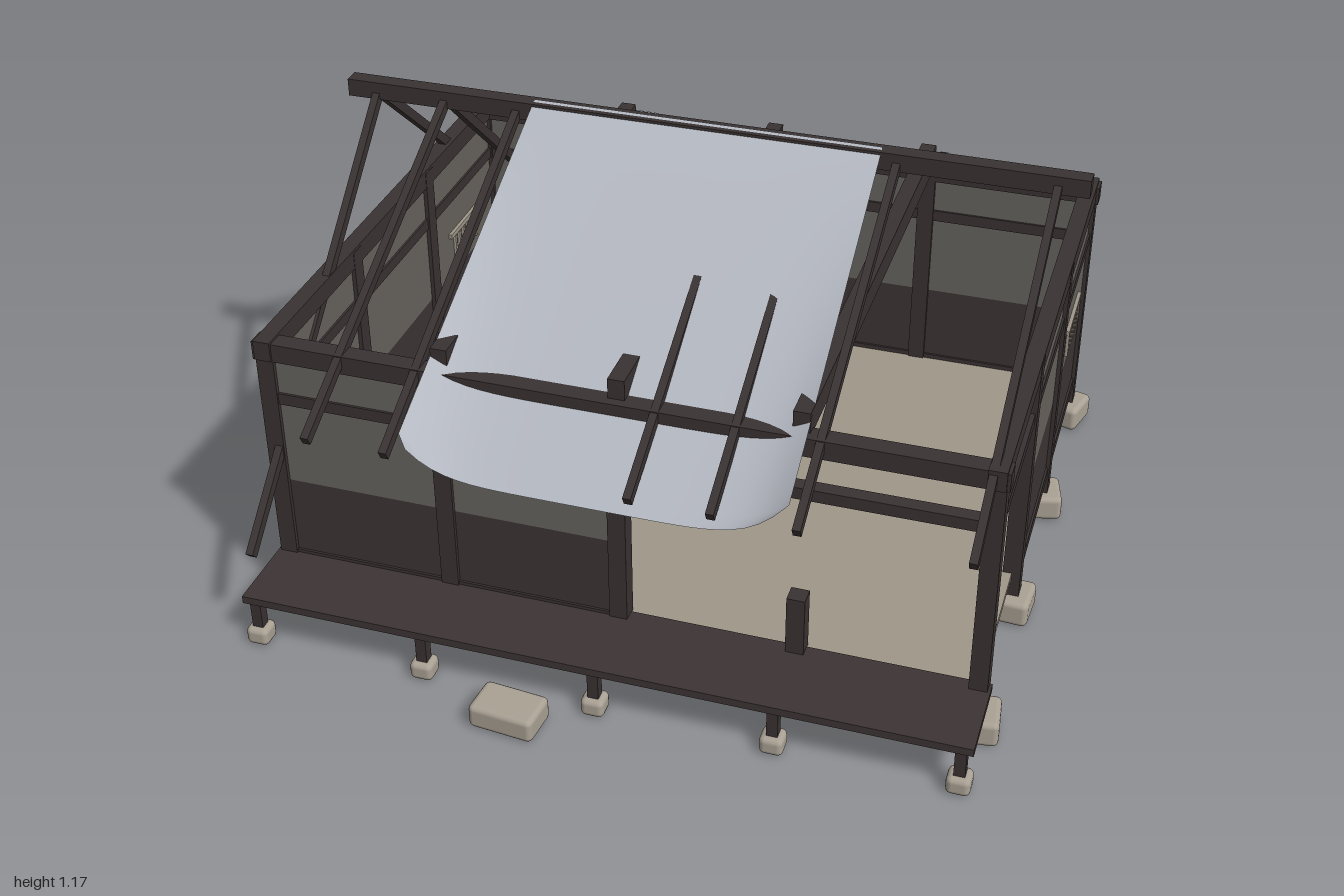
import * as THREE from 'three';
import { RoundedBoxGeometry } from 'three/addons/geometries/RoundedBoxGeometry.js';

export function createModel() {
  const house = new THREE.Group();
  house.name = 'ruinedHouse';
  const mat = (name, color, extra = {}) => {
    const m = new THREE.MeshStandardMaterial({ color, ...extra });
    m.name = name;
    return m;
  };
  const wood = mat('darkWood', 0x3a3232);
  const plank = mat('wallBoards', 0x3d3535);
  const plaster = mat('greyPlaster', 0x67645f);
  const straw = mat('strawFloor', 0xa0978a);
  const stone = mat('stone', 0xaaa194);
  const tin = mat('roofSheet', 0xb3b7c0, { side: THREE.DoubleSide });

  const add = (name, geo, m, x, y, z) => {
    const mesh = new THREE.Mesh(geo, m);
    mesh.name = name;
    mesh.position.set(x, y, z);
    house.add(mesh);
    return mesh;
  };
  // box given by its limits on each axis
  const box = (name, m, x0, x1, y0, y1, z0, z1) =>
    add(name, new THREE.BoxGeometry(x1 - x0, y1 - y0, z1 - z0), m,
      (x0 + x1) / 2, (y0 + y1) / 2, (z0 + z1) / 2);
  const post = (name, x, z, y0, y1, w) =>
    box(name, wood, x - w / 2, x + w / 2, y0, y1, z - w / 2, z + w / 2);
  const rock = (name, x, z, w, h, d, yaw) => {
    add(name, new RoundedBoxGeometry(w, h, d, 2, 0.015), stone, x, h / 2, z).rotation.y = yaw;
  };

  const F = 0.63, B = -0.77, RIDGE = -0.07;
  const xs = [-0.9, -0.45, 0, 0.45, 0.9];
  const zs = [F, 0.163, -0.303, B];

  // Posts on foundation stones around the perimeter
  let n = 0;
  const footing = (x, z, top) => {
    post('post', x, z, 0.06, top, 0.046);
    rock('foundationStone', x, z, 0.115, 0.072, 0.115, 0.3 * Math.sin(++n * 2.4));
  };
  for (const x of xs) {
    footing(x, F, x === 0.45 ? 0.31 : 0.78);   // one front post is snapped off
    footing(x, B, 0.78);
  }
  for (const x of [-0.9, 0.9]) for (const z of [zs[1], zs[2]]) footing(x, z, 0.78);

  // Floor
  box('floor', straw, -0.9, 0.9, 0.122, 0.142, B, F);

  // Wall bays: boards below, plaster above, built along x or z
  const T = 0.012;
  const layer = (name, m, alongX, a, b, c, y0, y1, t) => alongX
    ? box(name, m, a, b, y0, y1, c - t, c + t)
    : box(name, m, c - t, c + t, y0, y1, a, b);
  const bay = (alongX, a, b, c) => {
    layer('lowerBoards', plank, alongX, a, b, c, 0.12, 0.372, T);
    layer('plasterPanel', plaster, alongX, a, b, c, 0.372, 0.735, T);
    layer('sill', wood, alongX, a, b, c, 0.12, 0.155, 0.018);
  };
  for (let i = 0; i < 4; i++) {
    if (i < 2) bay(true, xs[i], xs[i + 1], F);
    if (i !== 1) bay(true, xs[i], xs[i + 1], B);
  }
  for (let i = 0; i < 3; i++) {
    bay(false, zs[i + 1], zs[i], -0.9);
    if (i > 0) bay(false, zs[i + 1], zs[i], 0.9);
  }

  // Lintel rails and top plates
  for (const z of [F, B]) {
    layer('lintelRail', wood, true, -0.9, 0.9, z, 0.605, 0.637, 0.018);
    layer('topPlate', wood, true, -0.93, 0.93, z, 0.732, 0.782, 0.024);
  }
  for (const x of [-0.9, 0.9]) {
    layer('lintelRail', wood, false, B, F, x, 0.605, 0.637, 0.018);
    layer('sidePlate', wood, false, B - 0.03, F + 0.03, x, 0.735, 0.788, 0.022);
  }
  for (const x of [-0.445, 0, 0.445])
    layer('tieBeam', wood, false, B, F, x, 0.77, 0.835, 0.021);

  // Barred windows, showing on both wall faces
  const bars = (x, z) => {
    box('windowRail', straw, x - 0.022, x + 0.022, 0.494, 0.508, z - 0.11, z + 0.11);
    for (let i = -2.5; i <= 2.5; i++)
      box('windowBar', straw, x - 0.02, x + 0.02, 0.41, 0.5, z + i * 0.03 - 0.005, z + i * 0.03 + 0.005);
  };
  bars(-0.9, 0.395);
  bars(-0.9, -0.535);
  bars(0.9, -0.535);

  // Veranda with short legs and a stepping stone
  box('verandaDeck', plank, -0.93, 0.93, 0.125, 0.146, F - 0.01, 0.855);
  for (const x of xs) {
    post('verandaLeg', x, 0.835, 0.04, 0.13, 0.028);
    rock('verandaStone', x, 0.835, 0.06, 0.05, 0.06, 0);
  }
  rock('steppingStone', -0.185, 0.935, 0.17, 0.066, 0.11, -0.09);

  // Ridge beam and rafters, some of them slipped
  box('ridgeBeam', wood, -0.968, 0.968, 1.115, 1.162, RIDGE - 0.022, RIDGE + 0.022);
  const rafter = (x, endZ, endY) => {
    const dy = endY - 1.135, dz = endZ - RIDGE;
    const r = add('rafter', new THREE.BoxGeometry(0.02, 0.026, Math.hypot(dy, dz)), wood,
      x, (endY + 1.135) / 2, (endZ + RIDGE) / 2);
    r.rotation.x = Math.atan2(-dy, dz);
  };
  for (const [x, y] of [[-0.89, 0.28], [-0.7, 0.665], [-0.5, 0.665], [0.1, 0.665],
    [0.295, 0.665], [0.495, 0.665], [0.89, 0.665]]) rafter(x, 0.85, y);
  for (const [x, y] of [[-0.9, 0.34], [-0.7, 0.3], [-0.5, 0.42], [0.1, 0.665],
    [0.495, 0.665], [0.89, 0.665]]) rafter(x, -0.99, y);

  // Sagging roof sheets, lower corners rounded, edges curled up
  const sheet = (name, run, yaw) => {
    const g = new THREE.PlaneGeometry(2, 1, 28, 28);
    const p = g.attributes.position;
    for (let i = 0; i < p.count; i++) {
      const u = p.getX(i), t = 0.5 - p.getY(i);
      const k = Math.max(0, (t - 0.96) / 0.04);
      const half = 0.455 + 0.015 * t - 0.03 * (1 - Math.sqrt(1 - Math.min(1, k * k)));
      const sag = 0.072 * Math.pow(t, 1.5) * (1 - Math.pow(Math.abs(u), 6));
      p.setXYZ(i, u * half, 1.166 - 0.466 * t - sag, run * t);
    }
    g.computeVertexNormals();
    add(name, g, tin, 0, 0, RIDGE).rotation.y = yaw;
  };
  sheet('frontRoofSheet', 0.925, 0);
  sheet('backRoofSheet', 0.93, Math.PI);

  return house;
}
